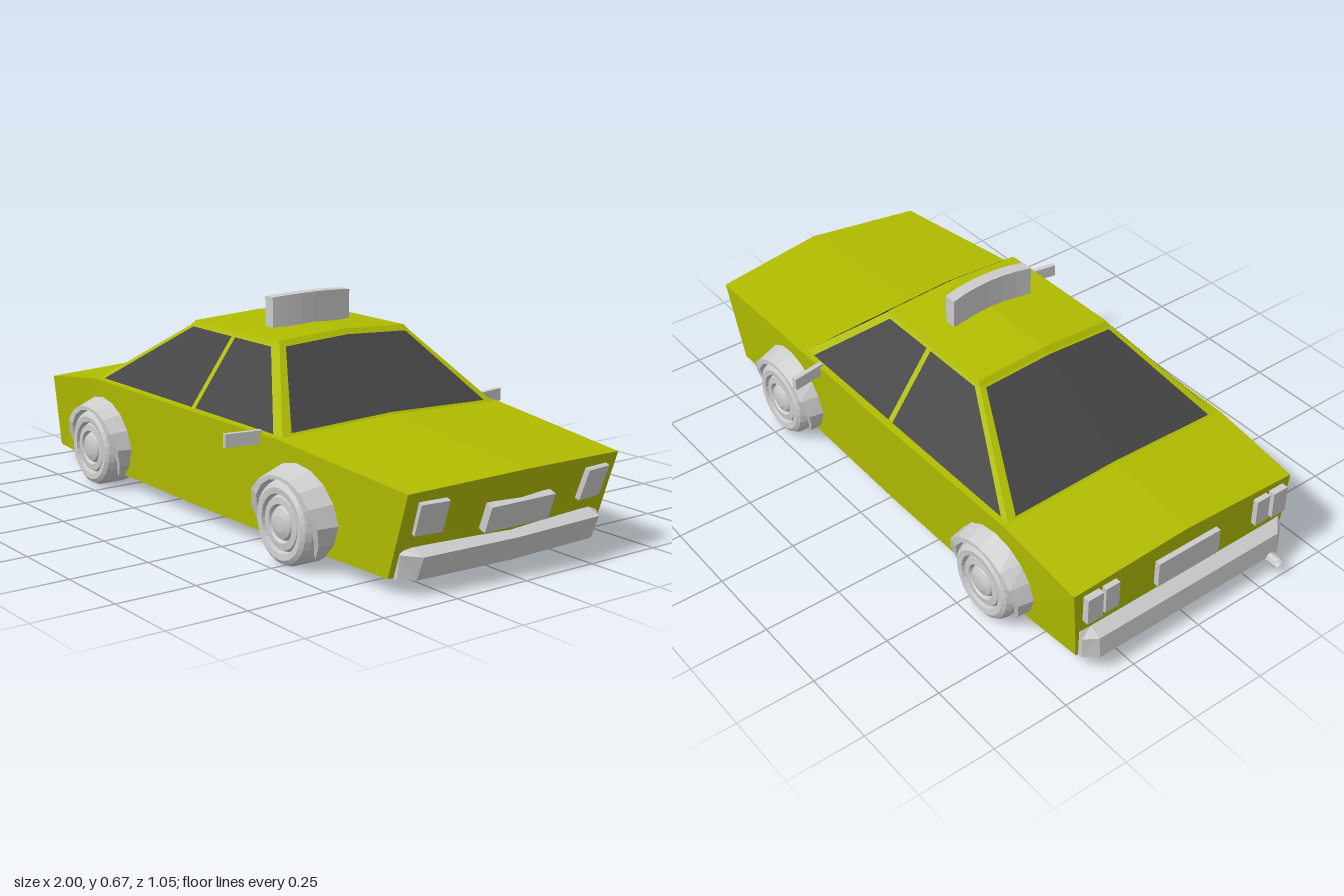
import * as THREE from 'three';

const mat = (color) => new THREE.MeshStandardMaterial({ color, flatShading: true, side: THREE.DoubleSide });
const paint = mat(0xb0bc00), glass = mat(0x444444), grey = mat(0xcccccc);

// Polygons (lists of [x, y, z] corners) fanned into triangles
function polygons(polys) {
  const pos = [];
  for (const p of polys)
    for (let i = 1; i < p.length - 1; i++) pos.push(...p[0], ...p[i], ...p[i + 1]);
  const g = new THREE.BufferGeometry();
  g.setAttribute('position', new THREE.Float32BufferAttribute(pos, 3));
  g.computeVertexNormals();
  return g;
}

// Skin over matching cross-sections; closed joins the last point to the first and caps the ends
function loft(sections, closed = true) {
  const polys = [], n = sections[0].length;
  for (let s = 0; s < sections.length - 1; s++) {
    const a = sections[s], b = sections[s + 1];
    for (let i = 0; i < (closed ? n : n - 1); i++) {
      const j = (i + 1) % n;
      polys.push([a[i], a[j], b[j], b[i]]);
    }
  }
  if (closed) polys.push([...sections[0]].reverse(), sections[sections.length - 1]);
  return polygons(polys);
}

const flipZ = (p) => p.map(([x, y, z]) => [x, y, -z]).reverse();

export function createModel() {
  const car = new THREE.Group();
  car.name = 'car';
  const add = (name, geometry, material, parent = car) => {
    const m = new THREE.Mesh(geometry, material);
    m.name = name;
    parent.add(m);
    return m;
  };
  const box = (name, size, at) => {
    const m = add(name, new THREE.BoxGeometry(...size), grey);
    m.position.set(...at);
    return m;
  };

  // Lower shell, open underneath: sill, belt edge, crowned centre, mirrored
  const rib = (xs, xb, xc, ys, yb, yc, zs, zb) =>
    [[xs, ys, zs], [xb, yb, zb], [xc, yc, 0], [xb, yb, -zb], [xs, ys, -zs]];
  const ribs = [
    rib(-0.915, -0.92, -0.92, 0.058, 0.3, 0.318, 0.395, 0.415),
    rib(-0.62, -0.62, -0.62, 0.045, 0.342, 0.356, 0.405, 0.42),
    rib(-0.05, -0.05, -0.05, 0.045, 0.344, 0.357, 0.41, 0.427),
    rib(0.415, 0.415, 0.415, 0.045, 0.342, 0.356, 0.405, 0.42),
    rib(0.87, 0.955, 1.0, 0.045, 0.297, 0.317, 0.383, 0.387),
  ];
  add('bodyShell', loft(ribs, false), paint);
  const [ns, nb, nc, nb2, ns2] = ribs[4];
  const chin = [0.9, 0.045, 0];
  add('nosePanel', polygons([[chin, ns, nb, nc], [chin, nc, nb2, ns2]]), paint);
  add('rearPanel', polygons([[...ribs[0]].reverse()]), paint);

  // Floor pan, nose floor and the front axle tunnel
  const plate = (x0, x1, w) => polygons([[[x0, 0.046, -w], [x1, 0.046, -w], [x1, 0.046, w], [x0, 0.046, w]]]);
  add('floorPan', plate(-0.42, 0.33, 0.405), paint);
  add('noseFloor', plate(0.67, 0.872, 0.386), paint);
  const tunnel = add('frontAxleTunnel',
    new THREE.CylinderGeometry(0.17, 0.17, 0.7, 10, 1, true, -Math.PI / 2, Math.PI), grey);
  tunnel.rotation.x = -Math.PI / 2;
  tunnel.position.set(0.5, 0.046, 0);

  // Cabin with a crowned roof and bevelled roof edge
  const hoop = (x, y, w) => [[x, y, w], [x, y + 0.012, 0], [x, y, -w]];
  const rb = hoop(-0.62, 0.341, 0.405), rt = hoop(-0.29, 0.553, 0.25), rr = hoop(-0.277, 0.567, 0.243);
  const fb = hoop(0.415, 0.341, 0.4), ft = hoop(0.185, 0.553, 0.246), fr = hoop(0.172, 0.567, 0.239);
  const side = [rb[0], fb[0], ft[0], rt[0]], edge = [rt[0], ft[0], fr[0], rr[0]];
  add('cabin', loft([rb, rt, rr, fr, ft, fb], false), paint);
  add('cabinSides', polygons([side, edge, flipZ(side), flipZ(edge)]), paint);

  // Windscreen and rear window, set just proud of the frame
  const screen = (name, lowX, highX, out, wLow, wHigh) => {
    const lift = ([x, y, z]) => [x + out, y + 0.003, z];
    const rows = [hoop(lowX, 0.348, wLow), hoop(highX, 0.549, wHigh)];
    add(name, loft(rows.map((r) => r.map(lift)), false), glass);
  };
  screen('windscreen', 0.407, 0.189, 0.003, 0.365, 0.228);
  screen('rearWindow', -0.609, -0.296, -0.003, 0.372, 0.235);

  // Side windows, split by the centre pillar
  const pane = (pts) => pts.map(([x, y]) => [x, y, 0.408 - (y - 0.341) * 0.731]);
  const rearPane = pane([[-0.585, 0.347], [-0.055, 0.347], [-0.055, 0.549], [-0.272, 0.549]]);
  const frontPane = pane([[-0.035, 0.347], [0.375, 0.347], [0.155, 0.549], [-0.035, 0.549]]);
  add('rearSideWindows', polygons([rearPane, flipZ(rearPane)]), glass);
  add('frontSideWindows', polygons([frontPane, flipZ(frontPane)]), glass);

  // Wheels: tyre, rim and hub in one turned profile, hollow inside
  const wheelProfile = [[0.108, 0.355], [0.12, 0.358], [0.124, 0.375], [0.124, 0.45], [0.116, 0.467],
    [0.104, 0.475], [0.086, 0.473], [0.082, 0.455], [0.076, 0.468], [0.056, 0.47],
    [0.05, 0.458], [0.044, 0.468], [0.025, 0.475], [0, 0.477]].map(([r, z]) => new THREE.Vector2(r, z));
  const wheelGeo = new THREE.LatheGeometry(wheelProfile, 28).rotateX(Math.PI / 2);

  // Flared arches: widest at axle height, thinning towards the sill
  const archSections = [];
  for (let i = 0; i <= 12; i++) {
    const a = THREE.MathUtils.degToRad(-35 + (250 * i) / 12);
    const t = THREE.MathUtils.clamp((Math.sin(a) + 0.57) / 1.2, 0, 1);
    const zOut = 0.43 + 0.045 * Math.min(1, t * 1.1);
    const rBody = 0.137 + 0.036 * Math.min(1, t * 1.8);
    const rOut = 0.138 + 0.022 * Math.cos(a) ** 2 * Math.min(1, t * 1.8);
    const at = (r, z) => [r * Math.cos(a), r * Math.sin(a), z];
    archSections.push([at(0.13, 0.37), at(rBody, 0.395), at(rOut, zOut), at(0.128, zOut)]);
  }
  const archGeo = loft(archSections);

  for (const [end, x] of [['front', 0.5], ['rear', -0.575]])
    for (const s of [1, -1]) {
      const corner = new THREE.Group();
      corner.name = end + (s > 0 ? 'NearSide' : 'FarSide') + 'Wheel';
      corner.position.set(x, 0.124, 0);
      corner.scale.z = s;
      add('wheel', wheelGeo, grey, corner);
      add('wheelArch', archGeo, grey, corner);
      car.add(corner);
    }

  // Bumpers: constant section with pinched ends
  const bumper = (name, profile, half, bow) => {
    const back = profile[0][0];
    const secs = [-half, -half + 0.04, 0, half - 0.04, half].map((z, i) => {
      const k = i % 4 === 0 ? 0.35 : 1, push = i === 2 ? bow : 0;
      return profile.map(([x, y]) => [back + (x - back) * k + push, y, z]);
    });
    add(name, loft(secs), grey);
  };
  bumper('frontBumper', [[0.87, 0.043], [0.92, 0.043], [0.95, 0.115], [0.905, 0.132]], 0.365, 0.015);
  bumper('rearBumper', [[-0.916, 0.058], [-0.965, 0.062], [-0.958, 0.13], [-0.919, 0.15]], 0.388, 0);

  // Lamps, mirrors and plates
  for (const s of [1, -1]) {
    const lamp = box('headlamp', [0.03, 0.1, 0.09], [0.937, 0.222, s * 0.298]);
    lamp.rotation.set(0, -s * 0.117, -0.35, 'YZX');
    box('tailLamp', [0.022, 0.09, 0.055], [-0.933, 0.24, s * 0.355]);
    box('reverseLamp', [0.018, 0.09, 0.05], [-0.931, 0.24, s * 0.29]);
    box('doorMirror', [0.016, 0.04, 0.115], [0.314, 0.331, s * 0.467]).rotation.y = -s * 0.17;
  }
  box('frontPlate', [0.025, 0.083, 0.235], [0.957, 0.188, 0]).rotation.z = -0.35;
  box('rearPlate', [0.018, 0.085, 0.235], [-0.931, 0.22, 0]);

  // Roof sign, bowed forwards and slightly domed
  const signGeo = new THREE.BoxGeometry(0.04, 0.1, 0.295, 1, 1, 6);
  const p = signGeo.attributes.position;
  for (let i = 0; i < p.count; i++) {
    const k = (p.getZ(i) / 0.1475) ** 2;
    p.setX(i, p.getX(i) - 0.014 * k);
    if (p.getY(i) > 0) p.setY(i, p.getY(i) - 0.007 * k);
  }
  add('roofSign', signGeo, grey).position.set(0.005, 0.624, 0);

  // Exhaust pipe curving in under the tail
  const path = new THREE.CatmullRomCurve3([[-1, 0.058, 0.318], [-0.92, 0.056, 0.318],
    [-0.85, 0.054, 0.3], [-0.79, 0.06, 0.25]].map((v) => new THREE.Vector3(...v)));
  add('exhaustPipe', new THREE.TubeGeometry(path, 10, 0.017, 8), grey);

  return car;
}
